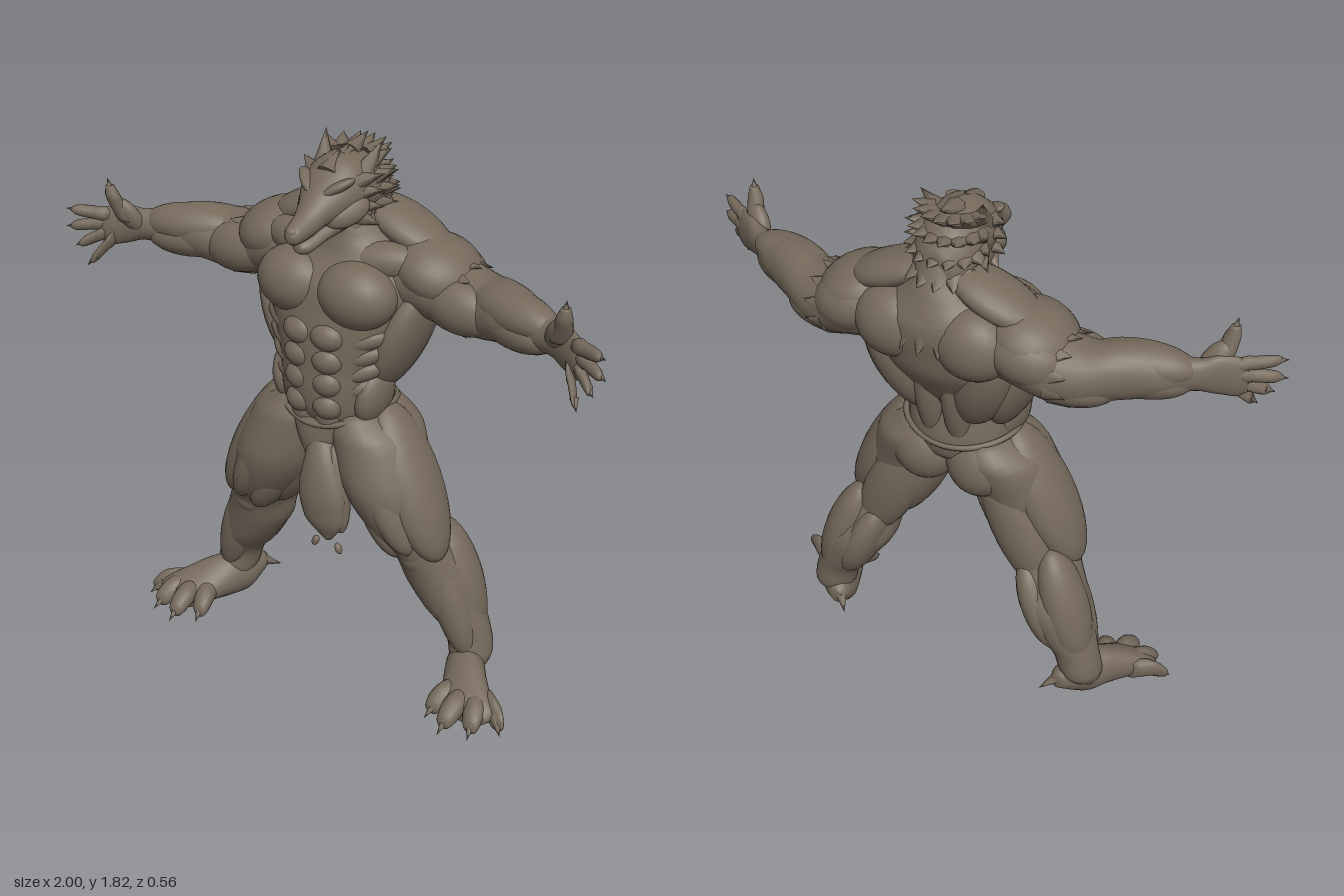
import * as THREE from 'three';

const V = (p, s = 1) => new THREE.Vector3(p[0] * s, p[1], p[2]);

export function createModel() {
  const model = new THREE.Group();
  model.name = 'wolfman';
  const hide = new THREE.MeshStandardMaterial({ color: 0x75695b });
  hide.name = 'brown hide';

  const add = (name, geometry, parent = model) => {
    const mesh = new THREE.Mesh(geometry, hide);
    mesh.name = name;
    parent.add(mesh);
    return mesh;
  };
  const group = (name) => {
    const g = new THREE.Group();
    g.name = name;
    model.add(g);
    return g;
  };

  // Smooth body through elliptical rings [x, y, z, ra, rb] lying across the given axis
  function loft(name, axis, rows, parent, s = 1, around = 28, per = 5) {
    const centre = new THREE.CatmullRomCurve3(rows.map((r) => V(r, s)));
    const radius = new THREE.CatmullRomCurve3(rows.map((r) => new THREE.Vector3(r[3], r[4], 0)));
    const steps = (rows.length - 1) * per, pos = [], index = [];
    for (let i = 0; i <= steps; i++) {
      const c = centre.getPoint(i / steps), r = radius.getPoint(i / steps);
      for (let j = 0; j < around; j++) {
        const a = (j / around) * Math.PI * 2, u = r.x * Math.cos(a), v = r.y * Math.sin(a);
        if (axis === 'x') pos.push(c.x, c.y + u, c.z + v);
        else if (axis === 'y') pos.push(c.x + u, c.y, c.z + v);
        else pos.push(c.x + u, c.y + v, c.z);
      }
    }
    // Faces run outward whichever way the rings advance
    const k = 'xyz'.indexOf(axis);
    const rise = (rows[rows.length - 1][k] - rows[0][k]) * (k === 0 ? s : 1);
    const flip = (rise > 0) === (axis === 'y');
    const tri = (a, b, c) => (flip ? index.push(a, c, b) : index.push(a, b, c));
    for (let i = 0; i < steps; i++) for (let j = 0; j < around; j++) {
      const n = (j + 1) % around, a = i * around + j, b = i * around + n;
      tri(a, b, b + around);
      tri(a, b + around, a + around);
    }
    const start = pos.length / 3, last = steps * around;
    for (const t of [0, 1]) pos.push(...centre.getPoint(t).toArray());
    for (let j = 0; j < around; j++) {
      const n = (j + 1) % around;
      tri(start, n, j);
      tri(start + 1, last + j, last + n);
    }
    const g = new THREE.BufferGeometry();
    g.setAttribute('position', new THREE.Float32BufferAttribute(pos, 3));
    g.setIndex(index);
    g.computeVertexNormals();
    return add(name, g, parent);
  }

  // Place a unit shape between two points, w across and d toward ref
  function stretch(mesh, a, b, w, d, ref) {
    const y = b.clone().sub(a), len = y.length();
    y.normalize();
    const z = ref.clone().addScaledVector(y, -ref.dot(y)).normalize();
    const x = new THREE.Vector3().crossVectors(y, z);
    mesh.quaternion.setFromRotationMatrix(new THREE.Matrix4().makeBasis(x, y, z));
    mesh.position.copy(a).add(b).multiplyScalar(0.5);
    mesh.scale.set(w, len / 2, d);
    return mesh;
  }
  const ball = new THREE.SphereGeometry(1, 24, 16);
  const cone = new THREE.ConeGeometry(1, 2, 8);
  const front = new THREE.Vector3(0, 0, 1);
  const muscle = (name, a, b, w, d, parent, s = 1) =>
    stretch(add(name, ball, parent), V(a, s), V(b, s), w, d, front);
  const spike = (name, a, b, w, d, parent, s = 1, ref = front) =>
    stretch(add(name, cone, parent), V(a, s), V(b, s), w, d, ref);
  const lump = (name, c, r, parent, s = 1) => {
    const m = add(name, ball, parent);
    m.position.copy(V(c, s));
    m.scale.set(...r);
  };

  // Torso and neck
  const torso = group('torso');
  loft('trunk', 'y', [
    [0, 0.84, 0.01, 0.06, 0.07], [0, 0.91, 0.005, 0.17, 0.14], [0, 1.0, 0.02, 0.185, 0.165],
    [0, 1.1, 0.03, 0.185, 0.16], [0, 1.2, 0.0, 0.22, 0.187], [0, 1.3, -0.035, 0.265, 0.21],
    [0, 1.4, -0.055, 0.28, 0.21], [0, 1.48, -0.08, 0.25, 0.185], [0, 1.54, -0.075, 0.16, 0.165],
    [0, 1.6, -0.06, 0.105, 0.15], [0, 1.7, -0.05, 0.08, 0.11]], torso, 1, 40);

  // Head with muzzle and jaw
  const head = group('head');
  loft('skull', 'z', [
    [0, 1.6, 0.28, 0.012, 0.014], [0, 1.602, 0.262, 0.03, 0.03], [0, 1.618, 0.2, 0.042, 0.043],
    [0, 1.645, 0.15, 0.058, 0.056], [0, 1.67, 0.1, 0.085, 0.075], [0, 1.68, 0.04, 0.105, 0.105],
    [0, 1.675, -0.04, 0.11, 0.11], [0, 1.64, -0.12, 0.1, 0.115], [0, 1.6, -0.18, 0.06, 0.08]], head);
  loft('jaw', 'z', [
    [0, 1.55, 0.235, 0.015, 0.012], [0, 1.552, 0.215, 0.034, 0.024], [0, 1.575, 0.15, 0.052, 0.03],
    [0, 1.6, 0.07, 0.075, 0.045], [0, 1.61, 0, 0.08, 0.05]], head);
  lump('nose', [0, 1.615, 0.263], [0.02, 0.016, 0.017], head);

  // Mane of overlapping fur locks
  const mane = group('mane');
  for (let r = 0; r < 7; r++) {
    for (let k = -3; k <= 3; k++) {
      const a = (k + (r % 2) * 0.5) * 0.36, R = 0.085 + 0.008 * r;
      const y = 1.76 - 0.048 * r, z = -0.01 - 0.016 * r;
      const out = [Math.sin(a), 0, -Math.cos(a)], reach = 0.085 - 0.007 * r;
      spike('furLock', [out[0] * R, y, z + out[2] * R],
        [out[0] * (R + 0.05), y + 0.035 - 0.02 * r, z + out[2] * (R + reach)],
        0.042, 0.024, mane, 1, new THREE.Vector3(0, 1, 0));
    }
  }
  for (let i = 0; i < 4; i++)
    spike('crestLock', [0, 1.745 + 0.01 * i, 0.08 - 0.04 * i], [0, 1.8 + 0.004 * i, 0.01 - 0.05 * i], 0.035, 0.03, mane);

  // Waistband
  const band = [];
  for (let i = 0; i < 16; i++) {
    const a = (i / 16) * Math.PI * 2, f = Math.sin(a);
    band.push(new THREE.Vector3(0.195 * Math.cos(a), 0.995 - (f > 0 ? 0.06 : 0.03) * f * f, 0.015 + 0.162 * f));
  }
  add('waistband', new THREE.TubeGeometry(new THREE.CatmullRomCurve3(band, true), 64, 0.01, 6, true));

  // Hanging loincloth with two loose tassels
  const cloth = group('loincloth');
  loft('clothPouch', 'y', [[0, 0.95, 0.13, 0.1, 0.05], [0, 0.87, 0.13, 0.075, 0.055], [0, 0.78, 0.13, 0.03, 0.04]], cloth);
  loft('clothPanel', 'y', [
    [0.01, 0.92, 0.13, 0.03, 0.03], [0.035, 0.82, 0.165, 0.06, 0.045], [0.05, 0.7, 0.19, 0.085, 0.045],
    [0.06, 0.61, 0.19, 0.075, 0.04], [0.075, 0.54, 0.19, 0.012, 0.012]], cloth);
  muscle('clothFold', [0.07, 0.87, 0.15], [0.12, 0.57, 0.18], 0.04, 0.04, cloth);
  muscle('tassel', [0.028, 0.508, 0.205], [0.042, 0.545, 0.205], 0.012, 0.012, cloth);
  muscle('tassel', [0.132, 0.508, 0.205], [0.118, 0.545, 0.205], 0.012, 0.012, cloth);

  for (const s of [1, -1]) {
    const side = s > 0 ? 'left' : 'right';

    // Face, ears and cheek fur
    muscle('brow', [0.008, 1.685, 0.135], [0.095, 1.74, 0.07], 0.017, 0.028, head, s);
    muscle('eye', [0.025, 1.678, 0.13], [0.07, 1.695, 0.1], 0.009, 0.012, head, s);
    muscle('cheek', [0.03, 1.61, 0.14], [0.11, 1.66, 0.02], 0.045, 0.03, head, s);
    spike('ear', [0.07, 1.725, 0.0], [0.104, 1.825, -0.065], 0.038, 0.032, head, s);
    const cheekFur = [[1.715, 0.15, 1.745], [1.68, 0.155, 1.695], [1.64, 0.15, 1.64], [1.61, 0.13, 1.575]];
    for (const [y, tx, ty] of cheekFur) {
      spike('cheekLock', [0.07, y, 0.03], [tx, ty, -0.01], 0.03, 0.04, head, s);
      spike('cheekLock', [0.075, y - 0.01, -0.04], [tx - 0.01, ty - 0.015, -0.1], 0.033, 0.035, head, s);
    }

    // Chest, belly and back muscles
    lump('pectoral', [0.112, 1.375, 0.085], [0.135, 0.11, 0.105], torso, s);
    muscle('collarMuscle', [0.03, 1.47, 0.05], [0.3, 1.48, -0.03], 0.06, 0.06, torso, s);
    muscle('neckMuscle', [0.02, 1.45, 0.07], [0.09, 1.66, -0.02], 0.035, 0.045, torso, s);
    muscle('trapezius', [0.02, 1.62, -0.11], [0.33, 1.49, -0.1], 0.055, 0.1, torso, s);
    lump('shoulderBlade', [0.135, 1.42, -0.18], [0.13, 0.12, 0.1], torso, s);
    muscle('backMuscle', [0.06, 1.05, -0.06], [0.22, 1.44, -0.16], 0.1, 0.1, torso, s);
    muscle('sideMuscle', [0.15, 1.04, 0.0], [0.29, 1.42, -0.06], 0.065, 0.13, torso, s);
    muscle('spineMuscle', [0.045, 0.93, -0.08], [0.05, 1.34, -0.17], 0.048, 0.05, torso, s);
    for (let i = 0; i < 4; i++) {
      lump('abdominal', [0.05, 1.245 - 0.079 * i, 0.15], [0.062 - 0.003 * i, 0.05, 0.049], torso, s);
      muscle('ribMuscle', [0.09, 1.215 - 0.055 * i, 0.135], [0.23 - 0.012 * i, 1.265 - 0.055 * i, 0.05], 0.034, 0.04, torso, s);
    }
    muscle('lowerBelly', [0.035, 0.9, 0.13], [0.05, 1.02, 0.14], 0.05, 0.045, torso, s);
    muscle('oblique', [0.14, 0.93, 0.06], [0.175, 1.13, 0.04], 0.05, 0.09, torso, s);

    // Arm
    const arm = group(side + 'Arm');
    loft('armCore', 'x', [
      [0.16, 1.41, -0.08, 0.11, 0.13], [0.3, 1.415, -0.095, 0.13, 0.145], [0.4, 1.375, -0.095, 0.108, 0.12],
      [0.48, 1.37, -0.08, 0.1, 0.108], [0.55, 1.385, -0.05, 0.095, 0.1], [0.62, 1.39, -0.025, 0.088, 0.085],
      [0.7, 1.388, 0.002, 0.065, 0.062], [0.77, 1.388, 0.04, 0.054, 0.04], [0.82, 1.388, 0.068, 0.068, 0.033],
      [0.87, 1.378, 0.095, 0.068, 0.027], [0.9, 1.373, 0.108, 0.046, 0.016]], arm, s);
    muscle('deltoid', [0.16, 1.495, -0.09], [0.43, 1.4, -0.09], 0.1, 0.15, arm, s);
    muscle('rearDeltoid', [0.17, 1.45, -0.16], [0.43, 1.39, -0.14], 0.095, 0.1, arm, s);
    muscle('biceps', [0.28, 1.39, -0.02], [0.55, 1.355, -0.02], 0.085, 0.07, arm, s);
    muscle('triceps', [0.24, 1.35, -0.12], [0.57, 1.335, -0.08], 0.08, 0.1, arm, s);
    muscle('upperForearm', [0.44, 1.415, -0.06], [0.77, 1.405, 0.03], 0.068, 0.075, arm, s);
    muscle('lowerForearm', [0.46, 1.37, -0.06], [0.76, 1.36, 0.03], 0.068, 0.075, arm, s);
    for (let k = 0; k < 10; k++) {
      const c = Math.cos(k * 0.628), n = Math.sin(k * 0.628);
      spike('armFur', [0.38, 1.375 + 0.1 * c, -0.1 + 0.11 * n], [0.45, 1.37 + 0.114 * c, -0.085 + 0.12 * n],
        0.035, 0.014, arm, s, new THREE.Vector3(0, c, n));
    }
    muscle('thumbPad', [0.765, 1.37, 0.055], [0.835, 1.485, 0.105], 0.04, 0.028, arm, s);
    loft('thumb', 'y', [[0.805, 1.41, 0.08, 0.036, 0.028], [0.824, 1.46, 0.1, 0.03, 0.025],
      [0.832, 1.5, 0.115, 0.026, 0.023], [0.838, 1.535, 0.12, 0.014, 0.014]], arm, s, 12, 4);
    spike('thumbClaw', [0.836, 1.515, 0.12], [0.842, 1.562, 0.125], 0.016, 0.015, arm, s);
    const fingers = [[0.87, 1.42, 0.995, 1.437], [0.88, 1.39, 1.0, 1.372], [0.875, 1.36, 0.965, 1.31], [0.85, 1.345, 0.916, 1.25]];
    for (const [x, y, tx, ty] of fingers) {
      const at = (t, r) => [x + (tx - x) * t, y + (ty - y) * t, 0.1 + 0.07 * t, r, r];
      loft('finger', 'x', [at(-0.1, 0.022), at(0.25, 0.022), at(0.5, 0.021), at(0.72, 0.018), at(0.84, 0.009)], arm, s, 12, 3);
      spike('fingerClaw', at(0.68, 0), at(1, 0), 0.014, 0.014, arm, s);
    }

    // Leg
    const leg = group(side + 'Leg');
    loft('legCore', 'y', [
      [0.11, 0.98, 0.01, 0.08, 0.13], [0.15, 0.9, 0.02, 0.145, 0.165], [0.205, 0.75, 0.05, 0.15, 0.155],
      [0.255, 0.62, 0.045, 0.122, 0.128], [0.33, 0.5, 0.0, 0.105, 0.115], [0.367, 0.4, -0.035, 0.118, 0.122],
      [0.413, 0.3, -0.045, 0.1, 0.107], [0.468, 0.2, -0.055, 0.078, 0.077], [0.485, 0.13, -0.05, 0.073, 0.078],
      [0.49, 0.07, -0.03, 0.05, 0.05]], leg, s);
    lump('buttock', [0.1, 0.875, -0.06], [0.115, 0.12, 0.1], leg, s);
    muscle('innerThigh', [0.05, 0.92, 0.03], [0.25, 0.5, 0.01], 0.078, 0.11, leg, s);
    muscle('frontThigh', [0.12, 0.98, 0.08], [0.34, 0.53, 0.11], 0.075, 0.1, leg, s);
    muscle('outerThigh', [0.17, 1.0, 0.02], [0.41, 0.5, 0.05], 0.085, 0.12, leg, s);
    muscle('lowerThigh', [0.14, 0.8, 0.08], [0.29, 0.49, 0.08], 0.065, 0.085, leg, s);
    muscle('rearThigh', [0.12, 0.9, -0.05], [0.34, 0.42, -0.05], 0.095, 0.07, leg, s);
    lump('knee', [0.335, 0.51, 0.065], [0.06, 0.07, 0.052], leg, s);
    muscle('outerCalf', [0.35, 0.6, -0.05], [0.49, 0.18, -0.07], 0.078, 0.09, leg, s);
    muscle('innerCalf', [0.27, 0.55, -0.06], [0.42, 0.21, -0.07], 0.065, 0.1, leg, s);
    muscle('shin', [0.37, 0.53, 0.03], [0.5, 0.12, -0.01], 0.06, 0.055, leg, s);

    // Clawed foot
    loft('foot', 'z', [
      [0.44, 0.105, -0.135, 0.022, 0.026], [0.455, 0.105, -0.105, 0.05, 0.05], [0.48, 0.085, -0.04, 0.068, 0.078],
      [0.51, 0.084, 0.02, 0.078, 0.08], [0.555, 0.07, 0.09, 0.092, 0.063], [0.585, 0.055, 0.14, 0.1, 0.048],
      [0.59, 0.045, 0.175, 0.08, 0.032]], leg, s);
    spike('heelClaw', [0.435, 0.11, -0.11], [0.385, 0.078, -0.168], 0.024, 0.024, leg, s);
    const toes = [[0.625, 0.08, 0.728, 0.17], [0.605, 0.1, 0.65, 0.245], [0.56, 0.11, 0.555, 0.275], [0.515, 0.08, 0.475, 0.225]];
    for (const [x, z, tx, tz] of toes) {
      const at = (t, y, r) => [x + (tx - x) * t, y, z + (tz - z) * t, r, r];
      loft('toe', 'z', [at(-0.1, 0.065, 0.035), at(0.35, 0.065, 0.038), at(0.6, 0.05, 0.035), at(0.76, 0.036, 0.026), at(0.82, 0.032, 0.012)], leg, s, 14, 4);
      spike('toeClaw', at(0.6, 0.052, 0), at(1, 0.008, 0), 0.021, 0.019, leg, s);
    }
  }
  return model;
}
